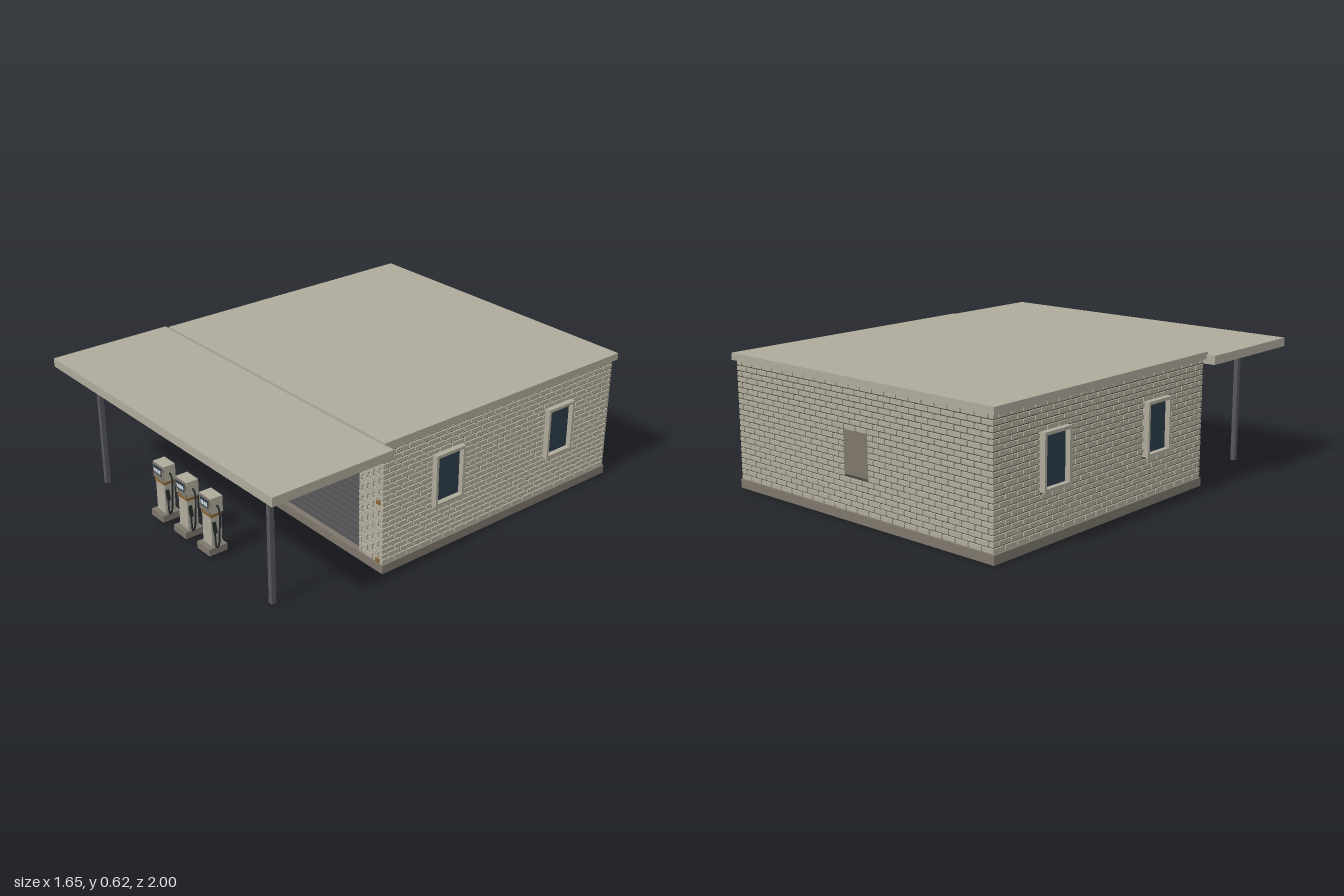
import * as THREE from 'three';
import { mergeGeometries } from 'three/addons/utils/BufferGeometryUtils.js';

const material = (name, color) => {
  const m = new THREE.MeshStandardMaterial({ color });
  m.name = name;
  return m;
};

export function createModel() {
  const concrete = material('concrete', 0xaeaa9b);
  const brick = material('brick', 0xb0ab9a);
  const mortar = material('mortar', 0x4c4a42);
  const stone = material('foundationStone', 0x7d766c);
  const metal = material('darkMetal', 0x575558);
  const glass = material('glass', 0x2e3d4a);
  const wood = material('brownTrim', 0x8a6636);
  const rubber = material('rubber', 0x22262a);
  const pale = material('paleDigits', 0xd8dcdc);

  const model = new THREE.Group();
  model.name = 'fillingStation';

  const add = (parent, name, geometry, mat) => {
    const mesh = new THREE.Mesh(geometry, mat);
    mesh.name = name;
    parent.add(mesh);
    return mesh;
  };
  // Box given by its extents on each axis
  const block = (parent, name, mat, [x0, x1], [y0, y1], [z0, z1]) =>
    add(parent, name, new THREE.BoxGeometry(x1 - x0, y1 - y0, z1 - z0)
      .translate((x0 + x1) / 2, (y0 + y1) / 2, (z0 + z1) / 2), mat);
  const group = (name, parent = model) => {
    const g = new THREE.Group();
    g.name = name;
    parent.add(g);
    return g;
  };

  // Running-bond bricks facing +z on the plane z = 0, cut around openings [x0, x1, y0, y1]
  const PITCH = 0.07, ROW = 0.025, GAP = 0.006, BASE = 0.04;
  function brickGeometry(x0, x1, holes) {
    const parts = [];
    for (let r = 0; r < 22; r++) {
      const y = BASE + (r + 0.5) * ROW;
      const cuts = holes.filter(h => y > h[2] && y < h[3]);
      for (let x = x0 - (r % 2) * PITCH / 2; x < x1; x += PITCH) {
        let spans = [[Math.max(x, x0), Math.min(x + PITCH - GAP, x1)]];
        for (const [a, b] of cuts) {
          spans = spans.flatMap(([s, e]) => [[s, Math.min(e, a)], [Math.max(s, b), e]]);
        }
        for (const [s, e] of spans) {
          if (e - s < 0.004) continue;
          parts.push(new THREE.BoxGeometry(e - s, ROW - GAP, 0.012)
            .translate((s + e) / 2, y, -0.006));
        }
      }
    }
    return mergeGeometries(parts);
  }

  // Foundation, wall core, roof and canopy
  block(model, 'foundation', stone, [-0.77, 0.77], [0, 0.04], [-0.99, 0.403]);
  block(model, 'wallCore', mortar, [-0.757, 0.757], [0.04, 0.59], [-0.979, 0.365]);
  block(model, 'roofSlab', concrete, [-0.782, 0.782], [0.588, 0.62], [-1, 0.408]);
  block(model, 'canopy', concrete, [-0.825, 0.825], [0.566, 0.607], [0.4, 1]);
  for (const s of [-1, 1]) {
    block(model, 'canopyPost', metal, [s * 0.645 - 0.011, s * 0.645 + 0.011], [0, 0.567], [0.868, 0.89]);
  }

  // Front wall mortar around the door and the garage opening
  const door = [-0.545, -0.36, 0.02, 0.45];
  const garage = [-0.095, 0.615, 0.04, 0.44];
  const frontZ = [0.364, 0.394];
  block(model, 'frontMortarRight', mortar, [-0.757, door[0]], [0.04, 0.59], frontZ);
  block(model, 'frontMortarMiddle', mortar, [door[1], garage[0]], [0.04, 0.59], frontZ);
  block(model, 'frontMortarLeft', mortar, [garage[1], 0.757], [0.04, 0.59], frontZ);
  block(model, 'doorLintel', mortar, [door[0], door[1]], [door[3], 0.59], frontZ);
  block(model, 'garageLintel', mortar, [garage[0], garage[1]], [garage[3], 0.59], frontZ);

  // Brick facing on all four walls
  const windowZs = [0.045, -0.635], W = 0.0825;
  const panel = [-0.075, 0.07, 0.2, 0.39];
  add(model, 'frontBricks', brickGeometry(-0.764, 0.764, [door, garage]), brick).position.z = 0.4;
  const back = add(model, 'backBricks',
    brickGeometry(-0.764, 0.764, [[-panel[1], -panel[0], panel[2], panel[3]]]), brick);
  back.rotation.y = Math.PI;
  back.position.z = -0.986;
  for (const s of [-1, 1]) {
    const holes = windowZs.map(z => [-s * z - W, -s * z + W, 0.225, 0.468]);
    const ends = [-s * 0.4, s * 0.986].sort((a, b) => a - b);
    const wall = add(model, s > 0 ? 'leftBricks' : 'rightBricks',
      brickGeometry(ends[0], ends[1], holes), brick);
    wall.rotation.y = s * Math.PI / 2;
    wall.position.x = s * 0.764;
  }
  block(model, 'backPanel', stone, [panel[0], panel[1]], [panel[2], panel[3]], [-0.983, -0.975]);

  // Side windows
  for (const s of [-1, 1]) for (const z of windowZs) {
    const win = group('sideWindow');
    const frame = new THREE.Shape([[-W, -0.122], [W, -0.122], [W, 0.122], [-W, 0.122]]
      .map(p => new THREE.Vector2(...p)));
    frame.holes.push(new THREE.Path([[-0.07, -0.108], [-0.07, 0.108], [0.07, 0.108], [0.07, -0.108]]
      .map(p => new THREE.Vector2(...p))));
    add(win, 'windowFrame', new THREE.ExtrudeGeometry(frame, { depth: 0.036, bevelEnabled: false }), concrete);
    block(win, 'windowPane', glass, [-0.072, 0.072], [-0.11, 0.11], [0.003, 0.012]);
    win.rotation.y = s * Math.PI / 2;
    win.position.set(s * 0.754, 0.347, z);
  }

  // Glazed front door with brown bars
  const entrance = group('frontDoor');
  block(entrance, 'doorPane', glass, [-0.545, -0.36], [0.02, 0.45], [0.366, 0.386]);
  for (const x of [-0.545, -0.371]) {
    block(entrance, 'doorJamb', concrete, [x, x + 0.011], [0.02, 0.45], [0.37, 0.412]);
  }
  for (const x of [-0.534, -0.455, -0.376]) {
    block(entrance, 'doorUpright', wood, [x, x + 0.005], [0.03, 0.44], [0.38, 0.392]);
  }
  for (const [y, h] of [[0.375, 0.008], [0.243, 0.004], [0.08, 0.008]]) {
    block(entrance, 'doorRail', wood, [-0.534, -0.371], [y, y + h], [0.38, 0.394]);
  }
  block(entrance, 'doorHead', wood, [-0.548, -0.357], [0.438, 0.45], [0.38, 0.418]);
  block(entrance, 'doorSill', wood, [-0.55, -0.355], [0.012, 0.028], [0.38, 0.418]);
  block(entrance, 'doorHandle', wood, [-0.392, -0.386], [0.16, 0.2], [0.386, 0.416]);

  // Slatted garage door
  const shutter = group('garageDoor');
  for (let i = 0; i < 13; i++) {
    const y = 0.048 + i * 0.03;
    block(shutter, 'garageSlat', metal, [garage[0], garage[1]], [y, y + 0.023], [0.364, 0.384]);
  }

  // Small brown wall brackets at the front corners
  for (const s of [-1, 1]) for (const y of [0.055, 0.33, 0.55]) {
    block(model, 'wallBracket', wood, [s * 0.738 - 0.011, s * 0.738 + 0.011], [y - 0.008, y + 0.008], [0.398, 0.406]);
  }

  // Fuel pumps with hoses
  for (const x of [-0.18, 0, 0.18]) {
    const pump = group('fuelPump');
    block(pump, 'pumpBase', stone, [-0.047, 0.047], [0.02, 0.052], [0.805, 0.896]);
    block(pump, 'pumpBody', concrete, [-0.033, 0.033], [0.052, 0.195], [0.82, 0.872]);
    block(pump, 'pumpTrim', wood, [-0.036, 0.036], [0.195, 0.212], [0.819, 0.875]);
    block(pump, 'pumpHead', concrete, [-0.042, 0.042], [0.212, 0.288], [0.816, 0.876]);
    block(pump, 'headPanel', stone, [-0.04, 0.04], [0.214, 0.286], [0.876, 0.879]);
    block(pump, 'display', glass, [-0.03, 0.03], [0.238, 0.276], [0.879, 0.881]);
    for (let i = 0; i < 4; i++) {
      const dx = -0.024 + i * 0.0128;
      block(pump, 'displayDigit', pale, [dx, dx + 0.009], [0.246, 0.264], [0.881, 0.883]);
    }
    const path = new THREE.CatmullRomCurve3([
      [0.036, 0.25, 0.845], [0.06, 0.247, 0.85], [0.08, 0.222, 0.858], [0.088, 0.15, 0.868],
      [0.085, 0.09, 0.872], [0.065, 0.065, 0.872], [0.054, 0.09, 0.868], [0.043, 0.135, 0.862],
    ].map(p => new THREE.Vector3(...p)));
    add(pump, 'hose', new THREE.TubeGeometry(path, 32, 0.0042, 6), rubber);
    const nozzle = add(pump, 'nozzle', new THREE.BoxGeometry(0.012, 0.05, 0.014), rubber);
    nozzle.position.set(0.04, 0.145, 0.86);
    nozzle.rotation.z = 0.2;
    pump.position.x = x;
  }

  return model;
}
